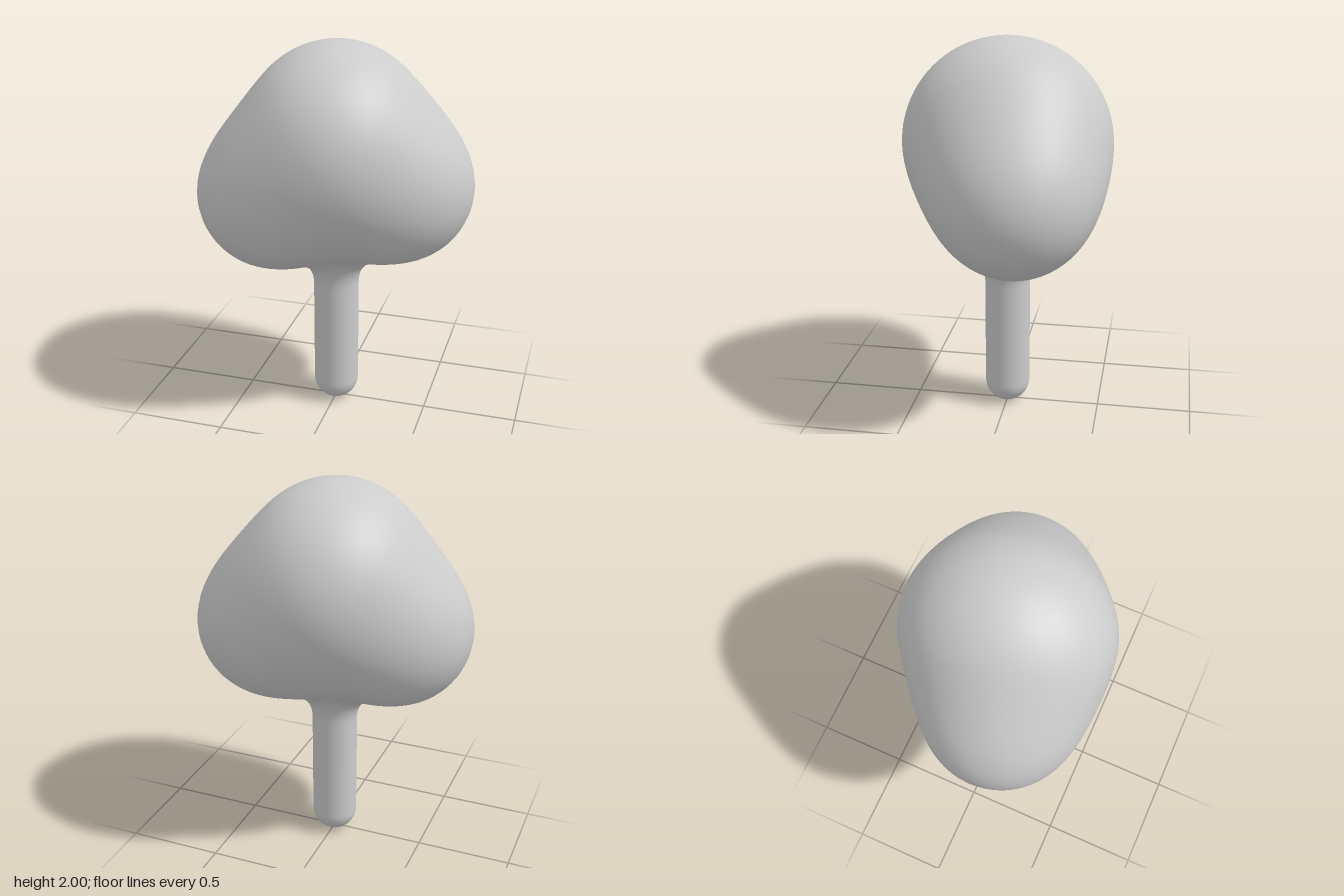
import * as THREE from 'three';

// Polynomial smooth union of two distances
const blend = (a, b, k) => {
  const h = Math.max(k - Math.abs(a - b), 0) / k;
  return Math.min(a, b) - h * h * k / 4;
};
const ball = (x, y, z, cx, cy, cz, r) => Math.hypot(x - cx, y - cy, z - cz) - r;

// Distance to the tree: domed crown, two side lobes and a round-ended trunk
function treeDistance(x, y, z) {
  const [rx, ry, rz] = [0.5, 0.54, 0.54], dy = y - 1.46;
  const k0 = Math.hypot(x / rx, dy / ry, z / rz);
  const k1 = Math.hypot(x / rx ** 2, dy / ry ** 2, z / rz ** 2);
  let d = k1 < 1e-6 ? -0.5 : k0 * (k0 - 1) / k1;
  d = blend(d, ball(x, y, z, -0.3, 1.22, 0.1, 0.4), 0.22);
  d = blend(d, ball(x, y, z, 0.3, 1.25, -0.08, 0.4), 0.22);
  const trunk = Math.hypot(x, y - Math.min(Math.max(y, 0.12), 1), z) - 0.12;
  return blend(d, trunk, 0.14);
}

// Skin the tree with rings of rays cast from a point inside the crown
function treeGeometry() {
  const originY = 1.3, columns = 96, angles = [];
  const aim = (r, y) => angles.push(Math.atan2(y - originY, r));
  for (let i = 0; i <= 9; i++) { // trunk tip
    const a = i / 9 * Math.PI / 2;
    aim(0.12 * Math.sin(a), 0.12 - 0.12 * Math.cos(a));
  }
  for (let i = 1; i <= 12; i++) aim(0.12, 0.12 + i * 0.048); // trunk side
  const start = angles[angles.length - 1], rows = 84;
  for (let i = 1; i <= rows; i++) { // flare and crown, denser near the flare
    angles.push(start + (Math.PI / 2 - start) * Math.pow(i / rows, 1.25));
  }

  const positions = [], normals = [], indices = [], e = 0.002;
  angles.forEach((angle, row) => {
    for (let c = 0; c < columns; c++) {
      const turn = c / columns * Math.PI * 2;
      const dx = Math.cos(angle) * Math.cos(turn);
      const dy = Math.sin(angle);
      const dz = Math.cos(angle) * Math.sin(turn);
      const at = t => treeDistance(dx * t, originY + dy * t, dz * t);
      let hi = 0.2;
      while (at(hi) < 0 && hi < 2) hi += 0.01;
      let lo = hi - 0.01;
      for (let i = 0; i < 16; i++) {
        const mid = (lo + hi) / 2;
        if (at(mid) < 0) lo = mid; else hi = mid;
      }
      const x = dx * hi, y = originY + dy * hi, z = dz * hi;
      positions.push(x, y, z);
      const n = new THREE.Vector3(
        treeDistance(x + e, y, z) - treeDistance(x - e, y, z),
        treeDistance(x, y + e, z) - treeDistance(x, y - e, z),
        treeDistance(x, y, z + e) - treeDistance(x, y, z - e)
      ).normalize();
      normals.push(n.x, n.y, n.z);
      if (row > 0) {
        const next = (c + 1) % columns, below = (row - 1) * columns, here = row * columns;
        indices.push(below + c, here + c, below + next);
        indices.push(here + c, here + next, below + next);
      }
    }
  });

  const geometry = new THREE.BufferGeometry();
  geometry.setAttribute('position', new THREE.Float32BufferAttribute(positions, 3));
  geometry.setAttribute('normal', new THREE.Float32BufferAttribute(normals, 3));
  geometry.setIndex(indices);
  return geometry;
}

export function createModel() {
  const group = new THREE.Group();
  group.name = 'tree';
  const material = new THREE.MeshStandardMaterial({ color: 0xcccccc });
  material.name = 'light grey';
  const tree = new THREE.Mesh(treeGeometry(), material);
  tree.name = 'crownAndTrunk';
  group.add(tree);
  return group;
}
